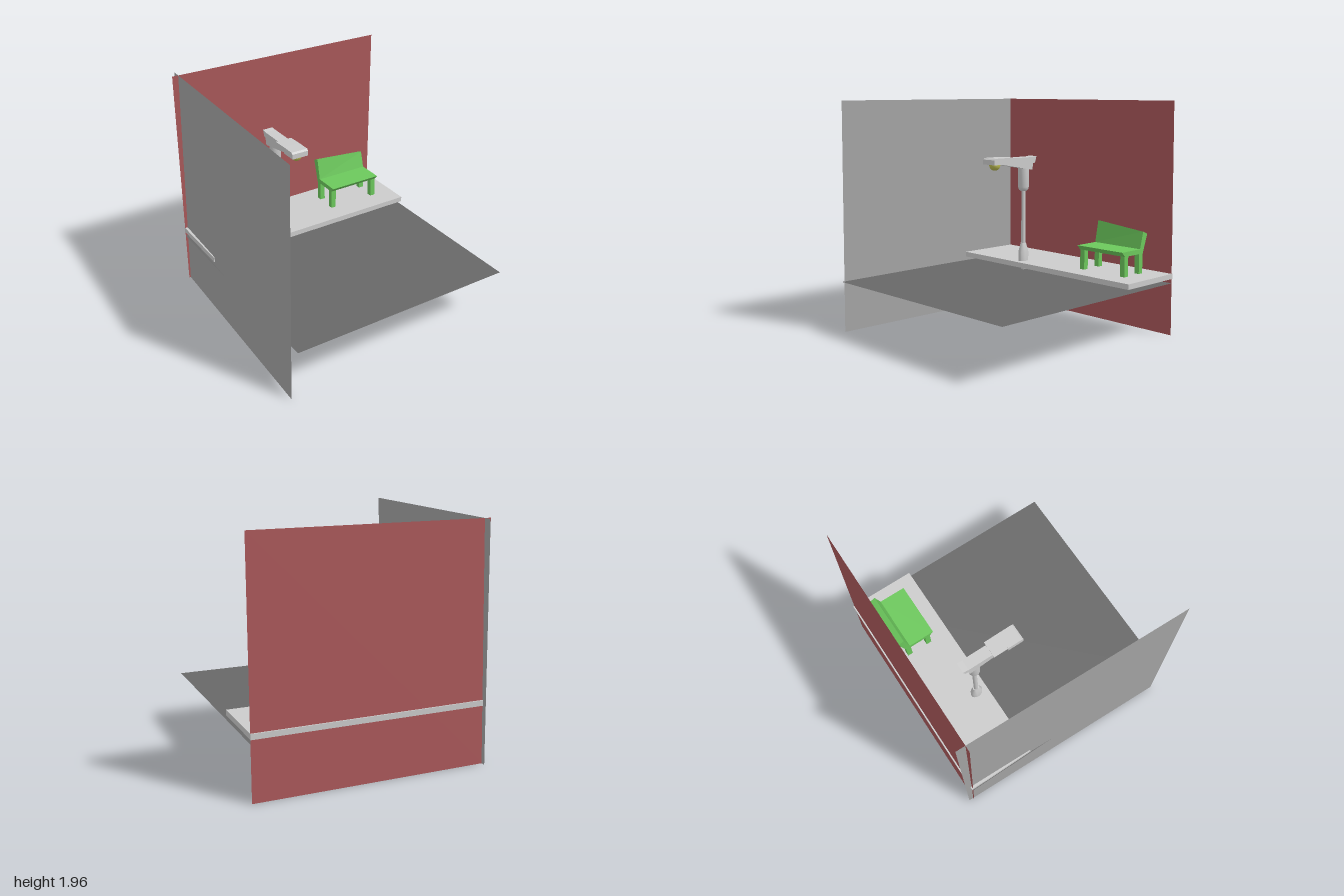
import * as THREE from 'three';
import { toCreasedNormals } from 'three/addons/utils/BufferGeometryUtils.js';

const material = (color) => new THREE.MeshStandardMaterial({ color, side: THREE.DoubleSide });

function part(name, geometry, mat, x = 0, y = 0, z = 0) {
  const mesh = new THREE.Mesh(geometry, mat);
  mesh.name = name;
  mesh.position.set(x, y, z);
  return mesh;
}

// Side profile of [z, y] points, extruded across x and centred on x = 0
function sideProfile(points, width) {
  const shape = new THREE.Shape(points.map(([z, y]) => new THREE.Vector2(z, y)));
  return new THREE.ExtrudeGeometry(shape, { depth: width, bevelEnabled: false })
    .translate(0, 0, -width / 2)
    .rotateY(-Math.PI / 2);
}

// Flat four-cornered sheet, corners in counter-clockwise order
function sheet(corners) {
  const geometry = new THREE.BufferGeometry();
  geometry.setAttribute('position', new THREE.Float32BufferAttribute(corners.flat(), 3));
  geometry.setIndex([0, 1, 2, 0, 2, 3]);
  geometry.computeVertexNormals();
  return geometry;
}

// Turned part from [radius, y] points, bottom to top
function turned(points) {
  const profile = points.map(([r, y]) => new THREE.Vector2(r, y));
  return toCreasedNormals(new THREE.LatheGeometry(profile, 24), 0.6);
}

function createBench(green) {
  const bench = new THREE.Group();
  bench.name = 'bench';
  const width = 0.485;

  // Seat and backrest in one piece; the top of the backrest slopes down towards +x
  const seat = sideProfile([
    [-0.52, 0.74], [-0.555, 0.70], [-0.79, 0.70],
    [-0.845, 0.86], [-0.79, 0.883], [-0.752, 0.74],
  ], width);
  const pos = seat.attributes.position;
  for (let i = 0; i < pos.count; i++) {
    if (pos.getY(i) > 0.8 && pos.getX(i) < 0) pos.setY(i, pos.getY(i) + 0.045);
  }
  seat.computeVertexNormals();
  bench.add(part('seatAndBackrest', seat, green));

  // Legs
  for (const x of [-1, 1]) {
    for (const z of [-0.578, -0.768]) {
      bench.add(part('benchLeg', new THREE.BoxGeometry(0.046, 0.18, 0.046), green, x * 0.217, 0.615, z));
    }
  }
  bench.position.x = 0.565;
  return bench;
}

function createLamp(grey, yellow) {
  const lamp = new THREE.Group();
  lamp.name = 'streetLamp';
  const poleZ = -0.477;

  // Foot is wider from front to back than across
  const foot = part('lampFoot', turned([
    [0, 0.50], [0.037, 0.50], [0.037, 0.61], [0.02, 0.69], [0, 0.69],
  ]), grey, 0, 0, poleZ);
  foot.scale.z = 1.4;
  lamp.add(foot);

  // Ground spike, pole and collar
  lamp.add(part('groundSpike', turned([
    [0, 0.44], [0.015, 0.442], [0.02, 0.455], [0.026, 0.48], [0.026, 0.52],
  ]), grey, 0, 0, poleZ));
  lamp.add(part('pole', new THREE.CylinderGeometry(0.019, 0.019, 0.6, 24), grey, 0, 0.92, poleZ));
  lamp.add(part('collar', turned([
    [0, 1.16], [0.03, 1.16], [0.041, 1.17], [0.048, 1.195], [0.048, 1.39], [0, 1.39],
  ]), grey, 0, 0, poleZ));

  // Tapered arm with a small raised tail
  lamp.add(part('arm', sideProfile([
    [-0.15, 1.458], [-0.15, 1.415], [-0.20, 1.405], [-0.45, 1.36],
    [-0.54, 1.345], [-0.55, 1.40], [-0.555, 1.458],
  ], 0.095), grey));
  lamp.add(part('armTail', sideProfile([
    [-0.545, 1.458], [-0.545, 1.403], [-0.575, 1.405], [-0.595, 1.463],
  ], 0.09), grey));

  // Lamp head with a thin plate running back over the arm
  lamp.add(part('lampHead', sideProfile([
    [-0.075, 1.468], [-0.20, 1.468], [-0.20, 1.413], [-0.06, 1.413], [-0.06, 1.455],
  ], 0.145), grey));
  lamp.add(part('headPlate', sideProfile([
    [-0.19, 1.468], [-0.33, 1.463], [-0.33, 1.459], [-0.19, 1.457],
  ], 0.145), grey));

  // Bulb
  lamp.add(part('bulb', new THREE.SphereGeometry(0.048, 24, 16), yellow, 0, 1.408, -0.128));

  lamp.position.x = -0.285;
  return lamp;
}

export function createModel() {
  const grey = material(0xcccccc);
  const model = new THREE.Group();
  model.name = 'streetScene';

  // Road surface
  model.add(part('road', sheet([
    [-0.96, 0.45, 1], [0.99, 0.45, 1], [0.99, 0.45, -0.95], [-0.96, 0.45, -0.95],
  ]), material(0x686868)));

  // Pavement slab
  model.add(part('pavement', new THREE.BoxGeometry(1.95, 0.045, 0.585), grey, 0.015, 0.508, -0.668));

  // Thin walls, both leaning slightly inwards
  model.add(part('backWall', sheet([
    [-0.96, 0, -0.96], [0.99, 0, -0.96], [0.99, 1.96, -0.92], [-0.96, 1.96, -0.92],
  ]), material(0xaa585a)));
  model.add(part('sideWall', sheet([
    [-1, 0, 0.955], [-0.945, 0, -1], [-0.905, 1.96, -1], [-0.96, 1.96, 0.955],
  ]), material(0xa4a4a4)));

  model.add(createBench(material(0x6cc85c)));
  model.add(createLamp(grey, material(0xbaba52)));
  return model;
}
